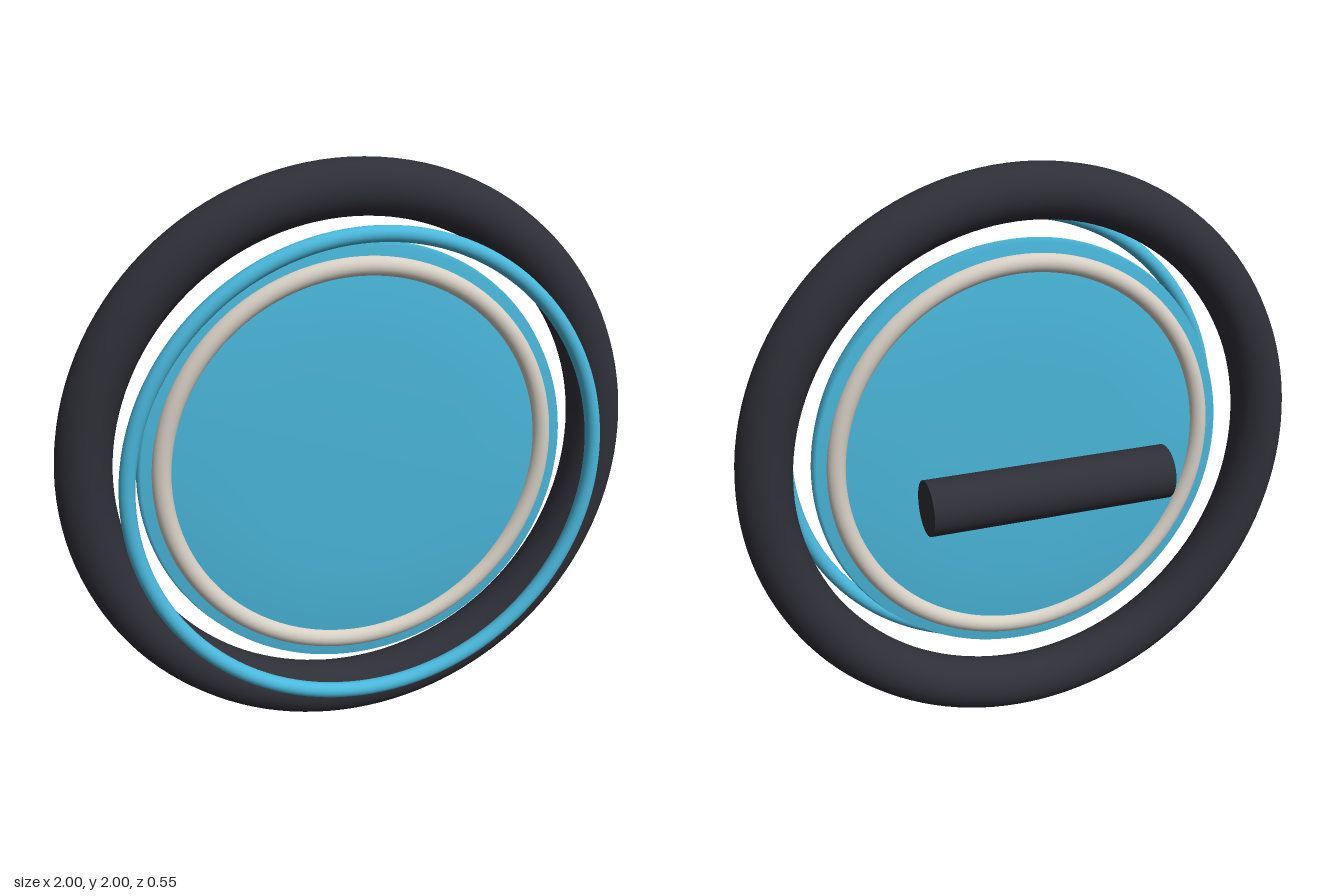
import * as THREE from 'three';

export function createModel() {
  const group = new THREE.Group();
  const charcoal = new THREE.MeshStandardMaterial({ color: 0x2f2f38 });
  charcoal.name = 'charcoal';
  const blue = new THREE.MeshStandardMaterial({ color: 0x4ab8dc });
  blue.name = 'sky blue';
  const cream = new THREE.MeshStandardMaterial({ color: 0xd6cfc4 });
  cream.name = 'cream';

  const add = (name, geometry, material, y, z) => {
    const mesh = new THREE.Mesh(geometry, material);
    mesh.name = name;
    mesh.position.set(0, y, z);
    group.add(mesh);
    return mesh;
  };
  const ring = (name, radius, tube, material, z) =>
    add(name, new THREE.TorusGeometry(radius, tube, 24, 128), material, 1, z);

  // Thick outer ring and the thin hoop floating in front of it
  ring('outerRing', 0.907, 0.093, charcoal, 0.032);
  ring('frontHoop', 0.799, 0.026, blue, 0.246);

  // Shallow disc with softly shaded faces and a rounded rim
  const half = [[0, 0.05], [0.38, 0.05], [0.735, 0.035], [0.745, 0]];
  const profile = [
    ...half.slice(0, 3).map(([r, h]) => new THREE.Vector2(r, -h)),
    ...half.slice().reverse().map(([r, h]) => new THREE.Vector2(r, h)),
  ];
  const discZ = 0.075;
  add('disc', new THREE.LatheGeometry(profile, 128), blue, 1, discZ).rotation.x = Math.PI / 2;

  // Trim ring on each face of the disc
  for (const side of [1, -1]) {
    ring(side > 0 ? 'frontTrim' : 'backTrim', 0.668, 0.033, cream, discZ + side * 0.03);
  }

  // Horizontal bar behind the disc
  add('rearBar', new THREE.CylinderGeometry(0.093, 0.093, 0.855, 48), charcoal, 0.95, -0.181)
    .rotation.z = Math.PI / 2;

  return group;
}
